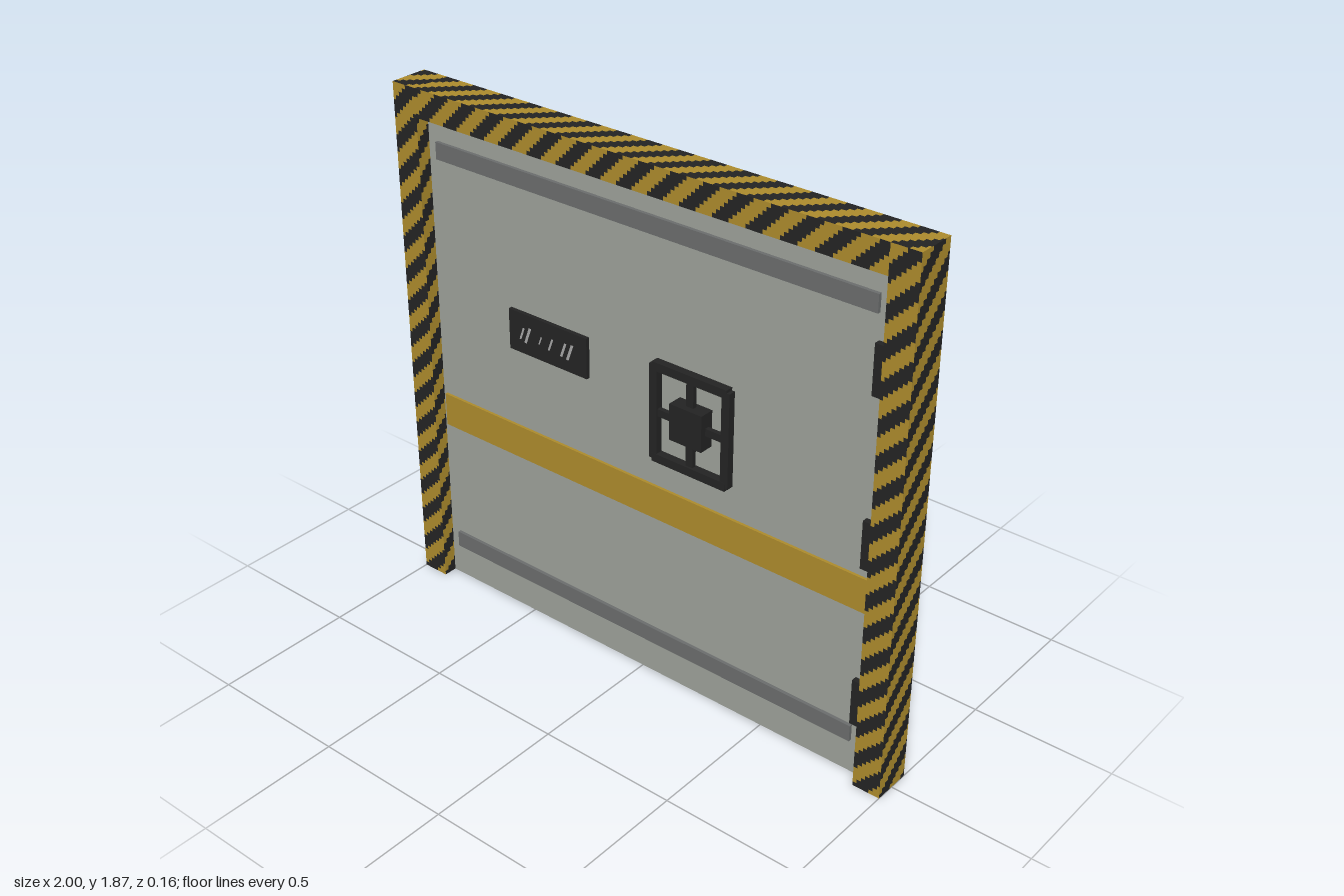
import * as THREE from 'three';

const makeMaterial = (name, color) => Object.assign(new THREE.MeshStandardMaterial({ color }), { name });

const W = 1, H = 1.87, D = 0.07, BAR = 0.1; // half width, height, half depth, frame bar width
const PERIOD = 0.12, STEP = 0.015;          // hazard stripe repeat and stair step

// Box whose faces carry stepped diagonal stripes in two alternating materials
function stripedBox(name, min, max, materials) {
  const [x0, y0, z0] = min, [x1, y1, z1] = max;
  const w = x1 - x0, h = y1 - y0, d = z1 - z0;
  // corner, u axis, v axis, u length, v length; u x v points outward
  const faces = [
    [[x0, y0, z1], [1, 0, 0], [0, 1, 0], w, h],
    [[x1, y0, z0], [-1, 0, 0], [0, 1, 0], w, h],
    [[x1, y0, z1], [0, 0, -1], [0, 1, 0], d, h],
    [[x0, y0, z0], [0, 0, 1], [0, 1, 0], d, h],
    [[x0, y1, z1], [1, 0, 0], [0, 0, -1], w, d],
    [[x0, y0, z0], [1, 0, 0], [0, 0, 1], w, d],
  ];
  const sets = [[], []];
  for (const [corner, u, v, lu, lv] of faces) {
    const at = (a, b) => corner.map((c, i) => c + u[i] * a + v[i] * b);
    const rows = Math.round(lv / STEP), rowH = lv / rows;
    for (let r = 0; r < rows; r++) {
      const b0 = r * rowH, b1 = b0 + rowH;
      const first = Math.floor(-b0 / (PERIOD / 2));
      for (let k = first - 1; k * PERIOD / 2 + b0 < lu; k++) {
        const a0 = Math.max(0, k * PERIOD / 2 + b0);
        const a1 = Math.min(lu, (k + 1) * PERIOD / 2 + b0);
        if (a1 - a0 < 1e-5) continue;
        const p = at(a0, b0), q = at(a1, b0), s = at(a1, b1), t = at(a0, b1);
        sets[Math.abs(k) % 2].push(...p, ...q, ...s, ...p, ...s, ...t);
      }
    }
  }
  const geometry = new THREE.BufferGeometry();
  geometry.setAttribute('position', new THREE.Float32BufferAttribute(sets[0].concat(sets[1]), 3));
  geometry.addGroup(0, sets[0].length / 3, 0);
  geometry.addGroup(sets[0].length / 3, sets[1].length / 3, 1);
  geometry.computeVertexNormals();
  const mesh = new THREE.Mesh(geometry, materials);
  mesh.name = name;
  return mesh;
}

export function createModel() {
  const yellow = makeMaterial('hazard yellow', 0xab8a2c);
  const black = makeMaterial('black', 0x232323);
  const grey = makeMaterial('panel grey', 0x9ca098);
  const steel = makeMaterial('rail grey', 0x6a6c6c);
  const pale = makeMaterial('sign marks', 0xa4a4a4);

  const model = new THREE.Group();
  model.name = 'blastDoor';

  // box given by its extents
  const box = (parent, name, material, x0, x1, y0, y1, z0, z1) => {
    const mesh = new THREE.Mesh(new THREE.BoxGeometry(x1 - x0, y1 - y0, z1 - z0), material);
    mesh.position.set((x0 + x1) / 2, (y0 + y1) / 2, (z0 + z1) / 2);
    mesh.name = name;
    parent.add(mesh);
    return mesh;
  };

  // Striped frame
  const stripes = [black, yellow];
  model.add(stripedBox('rightPost', [-W, 0, -D], [-W + BAR, H, D], stripes));
  model.add(stripedBox('leftPost', [W - BAR, 0, -D], [W, H, D], stripes));
  model.add(stripedBox('topBeam', [-W + BAR, H - BAR, -D], [W - BAR, H, D], stripes));

  // Door leaf and hinges
  const P = 0.025;
  box(model, 'doorPanel', grey, -0.895, 0.895, 0.005, 1.76, -P, P);
  for (const y of [0.293, 0.875, 1.46]) {
    box(model, 'hinge', black, 0.857, 0.898, y - 0.084, y + 0.084, -0.045, 0.045);
  }

  // Fittings repeated on both faces; m mirrors x so they line up through the door
  for (const m of [1, -1]) {
    const side = new THREE.Group();
    side.name = m > 0 ? 'frontFittings' : 'backFittings';
    if (m < 0) side.rotation.y = Math.PI;
    model.add(side);

    for (const y of [0.13, 1.63]) box(side, 'rail', steel, -0.855, 0.855, y, y + 0.06, P, P + 0.012);
    box(side, 'warningBand', yellow, -0.88, 0.88, 0.63, 0.752, P, P + 0.01);

    // Square hand wheel
    const wheel = new THREE.Group();
    wheel.name = 'handWheel';
    wheel.position.set(0.218 * m, 1.045, 0);
    side.add(wheel);
    for (const s of [-1, 1]) {
      box(wheel, 'rimSide', black, s * 0.141 - 0.015, s * 0.141 + 0.015, -0.168, 0.168, 0.037, 0.063);
      box(wheel, 'rimEnd', black, -0.145, 0.145, s * 0.163 - 0.015, s * 0.163 + 0.015, 0.036, 0.064);
    }
    box(wheel, 'uprightSpoke', black, -0.014, 0.014, -0.15, 0.15, 0.041, 0.057);
    box(wheel, 'crossSpoke', black, -0.13, 0.13, -0.013, 0.013, 0.042, 0.058);
    box(wheel, 'hub', black, -0.063, 0.063, -0.064, 0.064, P, 0.078);

    // Sign plate with slanted dashes
    const sign = new THREE.Group();
    sign.name = 'sign';
    sign.position.set(-0.385 * m, 1.118, 0);
    side.add(sign);
    box(sign, 'signPlate', black, -0.168, 0.168, -0.073, 0.073, P, P + 0.014);
    for (const [x, h] of [[-0.11, 0.03], [-0.085, 0.04], [-0.03, 0.02], [0.015, 0.03], [0.07, 0.035], [0.098, 0.04]]) {
      const dash = new THREE.Shape([[-0.6, -1], [-0.2, -1], [0.6, 1], [0.2, 1]]
        .map(([a, b]) => new THREE.Vector2(x + a * h * 0.7, b * h * 0.75)));
      const mesh = new THREE.Mesh(new THREE.ShapeGeometry(dash), pale);
      mesh.position.z = P + 0.016;
      mesh.name = 'signDash';
      sign.add(mesh);
    }
  }
  return model;
}
